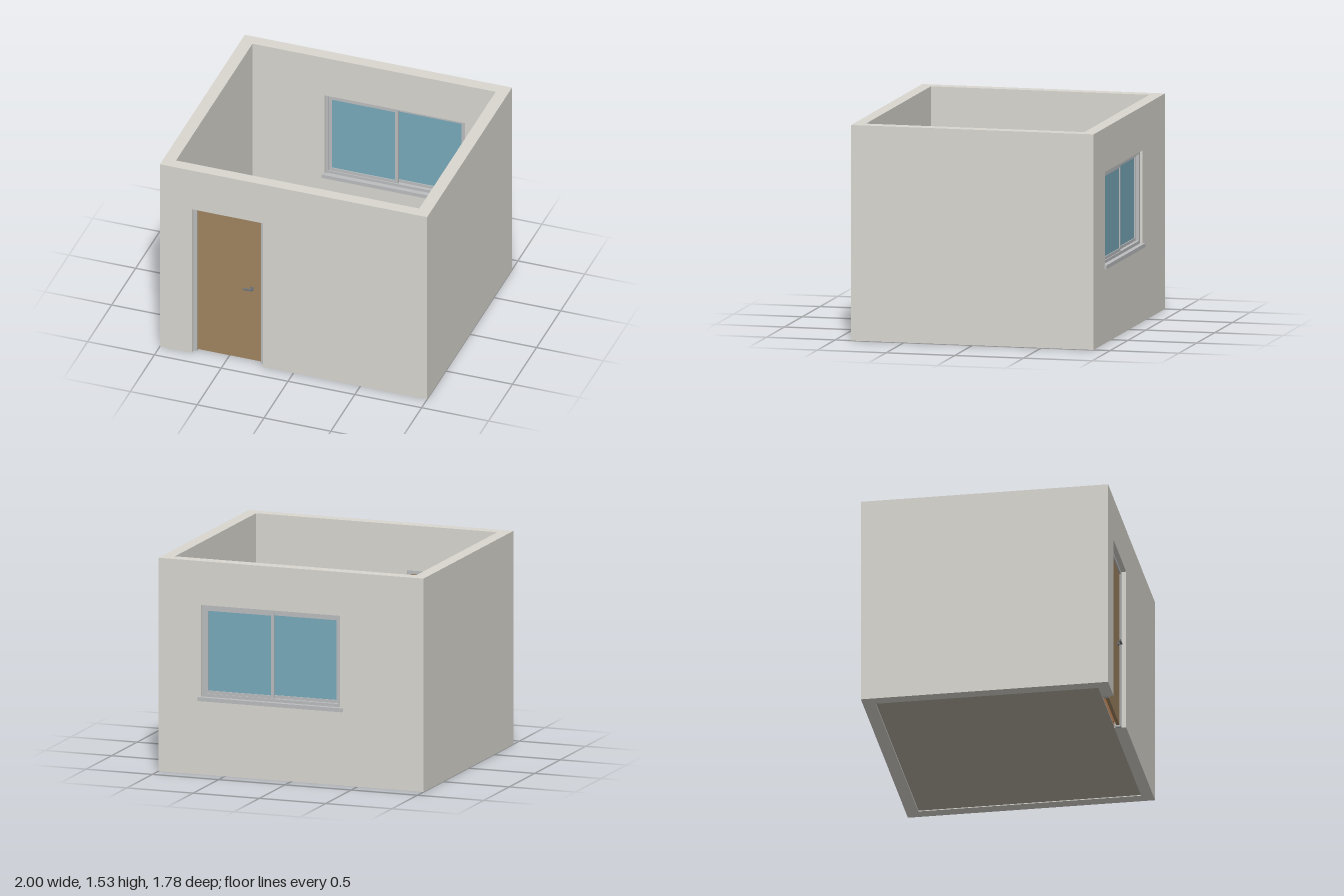
import * as THREE from 'three';
import { toCreasedNormals } from 'three/addons/utils/BufferGeometryUtils.js';

const mat = (color) => new THREE.MeshStandardMaterial({ color });
const WALL = mat(0xd9d7d0), FLOOR = mat(0xb5ada0), FRAME = mat(0xbbbdbf), WOOD = mat(0xa08560),
  VANITY = mat(0x9a6a42), GLASS = mat(0x78aabb), CERAMIC = mat(0xe4e2dd), METAL = mat(0x70757a), DARK = mat(0x3a3a3a);

function add(parent, name, geometry, material) {
  const mesh = new THREE.Mesh(geometry, material);
  mesh.name = name;
  parent.add(mesh);
  return mesh;
}

function group(parent, name) {
  const g = new THREE.Group();
  g.name = name;
  parent.add(g);
  return g;
}

// Box given by its min and max on each axis
function box(parent, name, material, x0, x1, y0, y1, z0, z1) {
  const mesh = add(parent, name, new THREE.BoxGeometry(x1 - x0, y1 - y0, z1 - z0), material);
  mesh.position.set((x0 + x1) / 2, (y0 + y1) / 2, (z0 + z1) / 2);
  return mesh;
}

function disc(parent, name, material, r, h, x, y, z) {
  add(parent, name, new THREE.CylinderGeometry(r, r, h, 20), material).position.set(x, y, z);
}

// Rectangular frame in the xy plane, w wide
function frame(parent, name, material, x0, x1, y0, y1, w, z0, z1, openBottom = false) {
  const g = group(parent, name);
  box(g, 'leftJamb', material, x1 - w, x1, y0, y1, z0, z1);
  box(g, 'rightJamb', material, x0, x0 + w, y0, y1, z0, z1);
  box(g, 'head', material, x0 + w, x1 - w, y1 - w, y1, z0, z1);
  if (!openBottom) box(g, 'bottomRail', material, x0 + w, x1 - w, y0, y0 + w, z0, z1);
}

// Skin through superellipse rings [cx, y, cz, rx, rz, exponent], outside first
function loft(rings, n = 72) {
  const pos = [], idx = [];
  const pow = (v, e) => Math.sign(v) * Math.abs(v) ** (2 / e);
  rings.forEach(([cx, y, cz, rx, rz, e], i) => {
    for (let j = 0; j <= n; j++) {
      const t = (j / n) * Math.PI * 2;
      pos.push(cx + rx * pow(Math.cos(t), e), y, cz + rz * pow(Math.sin(t), e));
      if (i < rings.length - 1 && j < n) {
        const a = i * (n + 1) + j, c = a + n + 1;
        idx.push(a, c, a + 1, a + 1, c, c + 1);
      }
    }
  });
  const geo = new THREE.BufferGeometry();
  geo.setAttribute('position', new THREE.Float32BufferAttribute(pos, 3));
  geo.setIndex(idx);
  return toCreasedNormals(geo, 0.7);
}

function extrudeWall(parent, name, points, hole, z0, z1) {
  const toPath = (P, list) => new P(list.map(([x, y]) => new THREE.Vector2(x, y)));
  const shape = toPath(THREE.Shape, points);
  if (hole) shape.holes.push(toPath(THREE.Path, hole));
  const geo = new THREE.ExtrudeGeometry(shape, { depth: z1 - z0, bevelEnabled: false });
  add(parent, name, geo, WALL).position.z = z0;
}

function buildShell(room) {
  const H = 1.535;
  extrudeWall(room, 'frontWall', [[-1, 0], [-0.76, 0], [-0.76, 1.21], [-0.23, 1.21], [-0.23, 0], [1, 0], [1, H], [-1, H]],
    null, 0.8, 0.885);
  extrudeWall(room, 'backWall', [[-1, 0], [1, 0], [1, H], [-1, H]],
    [[-0.37, 0.54], [-0.37, 1.22], [0.68, 1.22], [0.68, 0.54]], -0.88, -0.79);
  for (const s of [-1, 1])
    box(room, s > 0 ? 'leftWall' : 'rightWall', WALL, Math.min(s, s * 0.91), Math.max(s, s * 0.91), 0, H, -0.79, 0.8);
  box(room, 'floor', FLOOR, -0.908, 0.908, 0.005, 0.02, -0.788, 0.8);
}

function buildDoor(room) {
  const door = group(room, 'door');
  frame(door, 'doorFrame', FRAME, -0.76, -0.23, 0, 1.21, 0.026, 0.81, 0.85, true);
  box(door, 'doorLeaf', WOOD, -0.734, -0.256, 0.012, 1.184, 0.818, 0.842);
  // Lever handle on each face
  for (const s of [-1, 1]) {
    const h = group(door, 'doorHandle');
    h.position.set(-0.327, 0.61, 0.83);
    h.scale.z = 1;
    const z = (a, b) => (s > 0 ? [a, b] : [-b, -a]);
    box(h, 'rose', METAL, -0.013, 0.013, -0.014, 0.014, ...z(0.01, 0.018));
    box(h, 'neck', METAL, -0.006, 0.006, -0.006, 0.006, ...z(0.015, 0.034));
    box(h, 'lever', METAL, -0.056, 0.008, -0.006, 0.006, ...z(0.03, 0.042));
  }
}

function buildWindow(room) {
  const win = group(room, 'window');
  box(win, 'windowSill', FRAME, -0.39, 0.7, 0.53, 0.558, -0.895, -0.775);
  frame(win, 'windowFrame', FRAME, -0.37, 0.68, 0.558, 1.22, 0.022, -0.86, -0.81);
  // Two sliding sashes on neighbouring tracks
  [[0.14, 0.658, -0.845], [-0.348, 0.17, -0.826]].forEach(([x0, x1, z]) => {
    frame(win, 'sash', FRAME, x0, x1, 0.58, 1.198, 0.022, z - 0.009, z + 0.009);
    box(win, 'glassPane', GLASS, x0 + 0.02, x1 - 0.02, 0.6, 1.178, z - 0.003, z + 0.003);
  });
}

function buildBathtub(room) {
  const tub = group(room, 'bathtub'), x = 0.345, z = -0.556;
  add(tub, 'tubShell', loft([
    [x, 0.02, z, 0.525, 0.232, 10], [x, 0.31, z, 0.525, 0.232, 10], [x, 0.32, z, 0.518, 0.225, 10],
    [x, 0.32, z, 0.495, 0.206, 3], [x, 0.31, z, 0.487, 0.2, 3], [x, 0.2, z, 0.45, 0.172, 3.3],
    [x, 0.1, z, 0.4, 0.138, 3.6], [x, 0.075, z, 0.38, 0.127, 3.6], [x, 0.075, z, 0, 0, 3.6],
  ], 96), CERAMIC);
  disc(tub, 'tubDrain', DARK, 0.014, 0.006, 0.62, 0.077, z);
}

function buildToilet(room) {
  const toilet = group(room, 'toilet'), z = -0.117, x = -0.56;
  box(toilet, 'pipeCasing', FRAME, -0.91, -0.79, 0.02, 0.65, -0.265, 0.02);
  box(toilet, 'cistern', CERAMIC, -0.785, -0.7, 0.22, 0.43, z - 0.09, z + 0.09);
  box(toilet, 'cisternLid', CERAMIC, -0.79, -0.695, 0.43, 0.45, z - 0.097, z + 0.097);
  disc(toilet, 'flushButton', DARK, 0.009, 0.008, -0.742, 0.452, z);
  box(toilet, 'bowlNeck', CERAMIC, -0.785, -0.63, 0.14, 0.225, z - 0.072, z + 0.072);
  box(toilet, 'seatHinge', CERAMIC, -0.65, -0.632, 0.22, 0.25, z - 0.045, z + 0.045);
  add(toilet, 'bowl', loft([
    [-0.6, 0.02, z, 0.1, 0.065, 2.3], [-0.6, 0.09, z, 0.075, 0.055, 2.2], [-0.58, 0.15, z, 0.095, 0.075, 2],
    [x, 0.2, z, 0.118, 0.094, 2], [x, 0.225, z, 0.125, 0.1, 2], [x, 0.236, z, 0.122, 0.097, 2],
    [x, 0.242, z, 0.11, 0.086, 2], [x, 0.238, z, 0.09, 0.069, 2], [x, 0.22, z, 0.083, 0.062, 2],
    [x, 0.15, z, 0.066, 0.046, 2], [x, 0.1, z, 0.046, 0.031, 2], [x, 0.1, z, 0, 0, 2],
  ]), CERAMIC);
}

function buildVanity(room) {
  const vanity = group(room, 'vanity'), x0 = -0.175, x1 = 0.525;
  box(vanity, 'cabinet', VANITY, x0, x1, 0.08, 0.45, 0.565, 0.798);
  box(vanity, 'plinth', VANITY, x0 + 0.02, x1 - 0.02, 0.02, 0.08, 0.59, 0.798);
  // Raised edge around the countertop
  box(vanity, 'backEdge', VANITY, x0, x1, 0.45, 0.46, 0.786, 0.798);
  box(vanity, 'frontEdge', VANITY, x0, x1, 0.45, 0.46, 0.565, 0.575);
  for (const x of [x0, x1 - 0.01]) box(vanity, 'sideEdge', VANITY, x, x + 0.01, 0.45, 0.46, 0.575, 0.786);
  // A door and an oval basin on each half
  for (const s of [-1, 1]) {
    const c = 0.175 + s * 0.175, z = 0.667;
    box(vanity, 'cabinetDoor', VANITY, c - 0.17, c + 0.17, 0.09, 0.445, 0.552, 0.565);
    box(vanity, 'cabinetDoorHandle', METAL, c - s * 0.15 - 0.005, c - s * 0.15 + 0.005, 0.33, 0.41, 0.544, 0.552);
    const bx = 0.173 + s * 0.177;
    add(vanity, 'basin', loft([
      [bx, 0.45, z, 0.11, 0.085, 2], [bx, 0.48, z, 0.145, 0.11, 2], [bx, 0.53, z, 0.172, 0.128, 2],
      [bx, 0.54, z, 0.173, 0.13, 2], [bx, 0.546, z, 0.167, 0.124, 2], [bx, 0.541, z, 0.158, 0.115, 2],
      [bx, 0.5, z, 0.14, 0.103, 2], [bx, 0.475, z, 0.118, 0.088, 2], [bx, 0.468, z, 0.105, 0.08, 2],
      [bx, 0.468, z, 0, 0, 2],
    ]), CERAMIC);
    disc(vanity, 'basinDrain', DARK, 0.012, 0.006, bx, 0.47, z);
  }
}

export function createModel() {
  const room = new THREE.Group();
  room.name = 'bathroom';
  [buildShell, buildDoor, buildWindow, buildBathtub, buildToilet, buildVanity].forEach((build) => build(room));
  return room;
}
